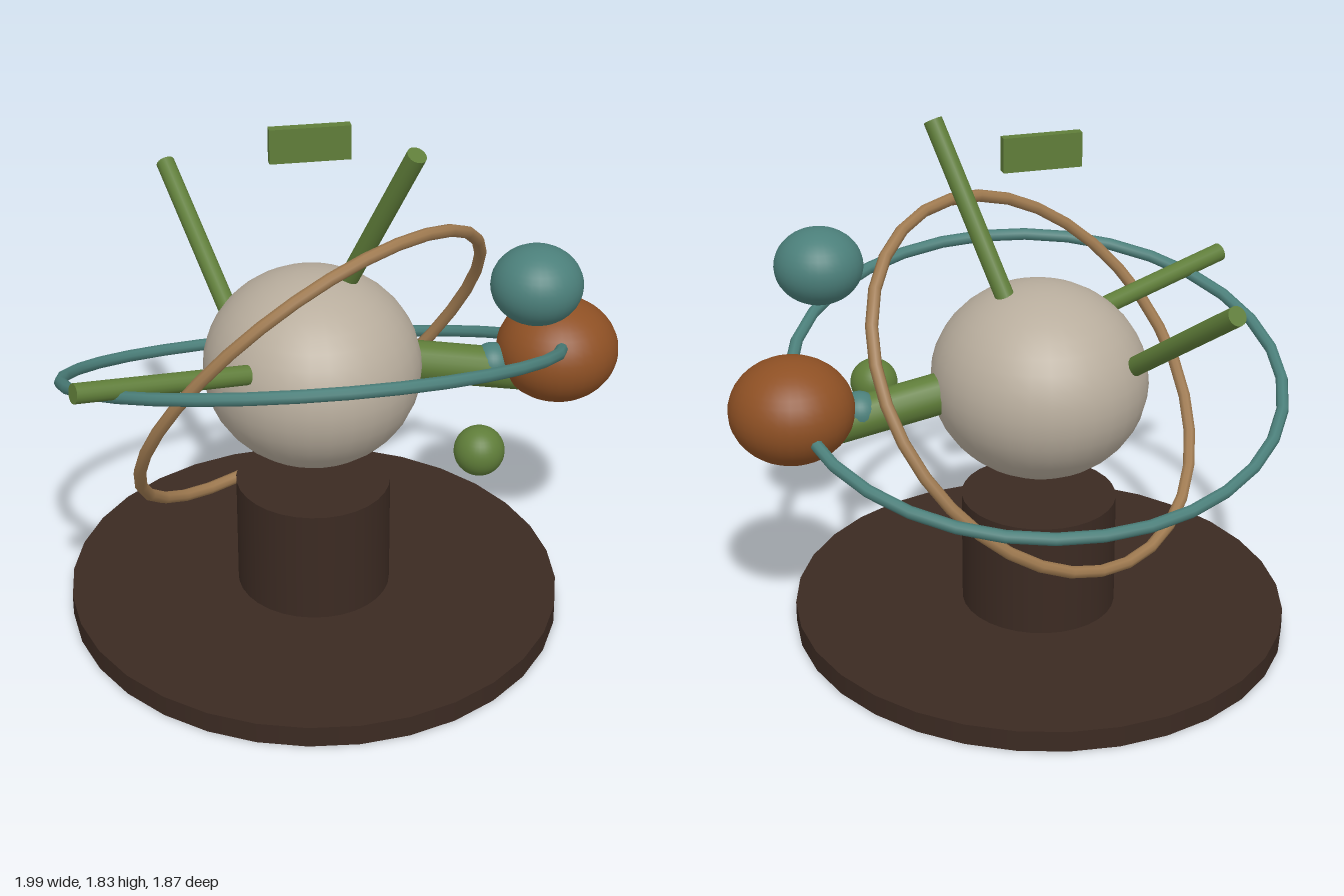
import * as THREE from 'three';

// Ellipse in space: centre + a*cos + b*sin
class Orbit extends THREE.Curve {
  constructor(centre, a, b) {
    super();
    Object.assign(this, { centre, a, b });
  }
  getPoint(t, target = new THREE.Vector3()) {
    const w = t * Math.PI * 2;
    return target.copy(this.centre).addScaledVector(this.a, Math.cos(w)).addScaledVector(this.b, Math.sin(w));
  }
}

export function createModel() {
  const group = new THREE.Group();
  const v = (x, y, z) => new THREE.Vector3(x, y, z);
  const mat = (name, color) => {
    const m = new THREE.MeshStandardMaterial({ color });
    m.name = name;
    return m;
  };
  const darkWood = mat('dark wood', 0x3b2a22);
  const stone = mat('pale stone', 0xb8ad9d);
  const rust = mat('rust orange', 0x8e5024);
  const teal = mat('teal', 0x4b7f7a);
  const green = mat('moss green', 0x5f7d39);
  const tan = mat('tan brass', 0x9f7a50);

  const add = (name, geometry, material, pos = v(0, 0, 0)) => {
    const mesh = new THREE.Mesh(geometry, material);
    mesh.name = name;
    mesh.position.copy(pos);
    group.add(mesh);
    return mesh;
  };
  const ball = (name, material, pos, rx, ry, rz) =>
    add(name, new THREE.SphereGeometry(1, 32, 20), material, pos).scale.set(rx, ry, rz);
  const rod = (name, from, to, radius) => {
    const dir = to.clone().sub(from);
    const mesh = add(name, new THREE.CylinderGeometry(radius, radius, dir.length(), 16), green,
      from.clone().lerp(to, 0.5));
    mesh.quaternion.setFromUnitVectors(v(0, 1, 0), dir.normalize());
  };
  const drum = (name, y, height, rx, rz) =>
    add(name, new THREE.CylinderGeometry(1, 1, height, 32), darkWood, v(-0.1, y + height / 2, 0)).scale.set(rx, 1, rz);
  const ring = (name, material, centre, a, b) =>
    add(name, new THREE.TubeGeometry(new Orbit(centre, a, b), 32, 0.022, 8, true), material);

  // Stand
  drum('base', 0, 0.075, 0.88, 0.935);
  drum('pedestal', 0.075, 0.412, 0.275, 0.292);

  // Globe and orbiting balls
  ball('globe', stone, v(-0.1, 0.935, 0), 0.381, 0.345, 0.404);
  ball('orangeBall', rust, v(0.78, 0.922, 0), 0.217, 0.185, 0.217);
  ball('tealBall', teal, v(0.612, 1.322, 0.295), 0.156, 0.135, 0.156);
  ball('greenBall', green, v(0.394, 0.794, 0.447), 0.086, 0.086, 0.086);
  ball('jointBall', teal, v(0.545, 0.886, 0), 0.072, 0.072, 0.072);

  // Tilted rings
  ring('tealRing', teal, v(-0.1, 0.945, 0), v(0.873, 0, 0), v(0, 0.265, 0.735));
  ring('tanRing', tan, v(-0.1, 0.92, 0), v(0.577, 0, -0.363), v(0.26, 0.593, 0.295));

  // Rods
  rod('upperRod', v(0.02, 1.24, 0), v(0.197, 1.81, 0.29), 0.034);
  rod('frontRod', v(-0.36, 1.05, 0.255), v(-0.95, 1.15, 0.475), 0.034);
  rod('backRod', v(-0.36, 1.05, -0.255), v(-0.515, 1.415, -0.77), 0.034);
  rod('thickArm', v(0.17, 0.936, 0), v(0.72, 0.836, 0), 0.073);

  // Floating plate
  add('plate', new THREE.BoxGeometry(0.275, 0.12, 0.036), green, v(-0.104, 1.76, 0));

  return group;
}
